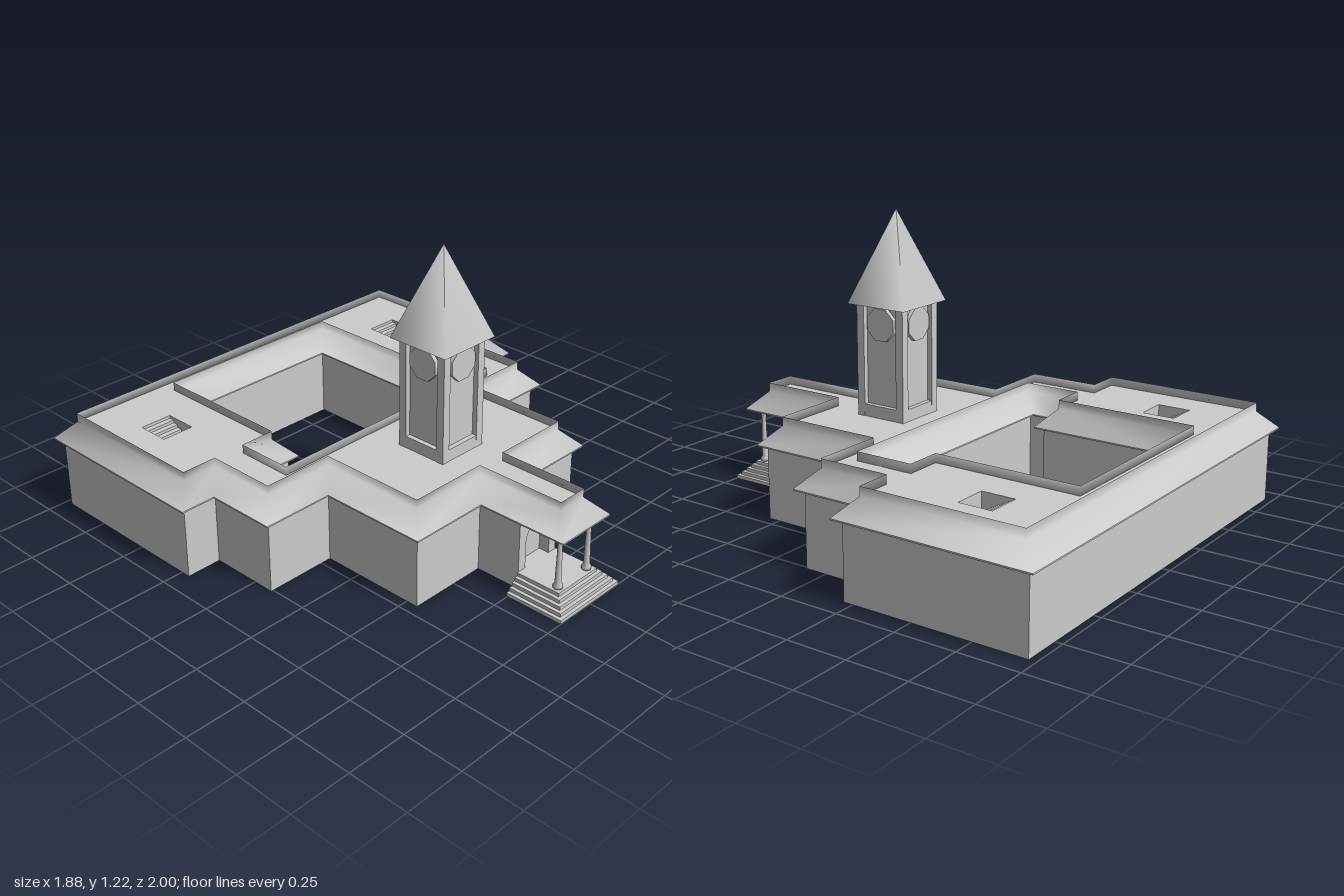
import * as THREE from 'three';

const material = new THREE.MeshStandardMaterial({ color: 0xcccccc });
const thin = new THREE.MeshStandardMaterial({ color: 0xcccccc, side: THREE.DoubleSide });

function add(parent, name, geometry, x = 0, y = 0, z = 0, mat = material) {
  const mesh = new THREE.Mesh(geometry, mat);
  mesh.name = name;
  mesh.position.set(x, y, z);
  parent.add(mesh);
  return mesh;
}

const box = (w, h, d) => new THREE.BoxGeometry(w, h, d);

// Mirrors a half outline of [x, z] points across x = 0 into a closed loop.
const mirrored = (half) => [...half, ...half.map(([x, z]) => [-x, z]).reverse()];

// Stepped plan of the building, drawn in from the eave line by an inset.
const outerPlan = (i, front = 0.965 - i) => mirrored([
  [0.94 - i, -1 + i], [0.94 - i, -0.18 - i], [0.79 - i, -0.18 - i], [0.79 - i, 0.12 - i],
  [0.485 - i, 0.12 - i], [0.485 - i, 0.58 - i], [0.14 - i, 0.58 - i], [0.14 - i, front],
]);

// Courtyard plan, which grows as the inset grows.
const courtPlan = (i) => mirrored([
  [0.355 + i, -0.79 - i], [0.355 + i, -0.18 - i], [0.505 + i, -0.18 - i], [0.505 + i, -0.08 + i],
]);

// Horizontal slab between two heights, with openings.
function slab(outline, holes, bottom, top) {
  const points = (loop) => loop.map(([x, z]) => new THREE.Vector2(x, z));
  const shape = new THREE.Shape(points(outline));
  shape.holes = holes.map((loop) => new THREE.Path(points(loop)));
  return new THREE.ExtrudeGeometry(shape, { depth: top - bottom, bevelEnabled: false })
    .rotateX(Math.PI / 2).translate(0, top, 0);
}

// Closed band through rings given as { loop, y }, with shared normals.
function band(rings) {
  const n = rings[0].loop.length;
  const positions = [];
  const index = [];
  for (const { loop, y } of rings) for (const [x, z] of loop) positions.push(x, y, z);
  for (let r = 0; r < rings.length - 1; r++) {
    for (let k = 0; k < n; k++) {
      const a = r * n + k, b = r * n + (k + 1) % n;
      index.push(a, a + n, b, b, a + n, b + n);
    }
  }
  const geometry = new THREE.BufferGeometry();
  geometry.setAttribute('position', new THREE.Float32BufferAttribute(positions, 3));
  geometry.setIndex(index);
  geometry.computeVertexNormals();
  return geometry;
}

function buildRoof() {
  const roof = new THREE.Group();
  roof.name = 'roof';
  const inset = 0.073, eaveY = 0.311, deckY = 0.385, topY = 0.422;

  add(roof, 'soffit', slab(outerPlan(0), [courtPlan(0)], 0.305, eaveY));

  // Flat deck with two stairwell openings
  const wells = [-0.65, 0.65].map((x) => [
    [x - 0.07, -0.7], [x + 0.07, -0.7], [x + 0.07, -0.56], [x - 0.07, -0.56],
  ]);
  add(roof, 'roofDeck', slab(outerPlan(inset), [courtPlan(inset), ...wells], eaveY, deckY));

  // Sloping eaves that turn up into the thin parapet
  for (const [name, plan] of [['outerEaves', outerPlan], ['courtyardEaves', courtPlan]]) {
    add(roof, name, band([
      { loop: plan(0), y: eaveY },
      { loop: plan(inset), y: deckY },
      { loop: plan(inset), y: topY },
    ]), 0, 0, 0, thin);
  }

  // Stairs going down inside each well
  const run = 0.14 / 6, rise = (deckY - eaveY) / 6;
  for (const x of [-0.65, 0.65]) {
    for (let i = 0; i < 5; i++) {
      const h = rise * (5 - i);
      add(roof, 'roofStair', box(0.14, h, run), x, eaveY + h / 2, -0.7 + run * (i + 0.5));
    }
  }
  return roof;
}

function buildPorch() {
  const porch = new THREE.Group();
  porch.name = 'porch';

  // Front wall with an arched doorway
  const wall = new THREE.Shape();
  wall.moveTo(-0.11, 0).lineTo(0.11, 0).lineTo(0.11, 0.305).lineTo(-0.11, 0.305).closePath();
  const arch = new THREE.Path();
  arch.moveTo(-0.07, 0.075).lineTo(-0.07, 0.19);
  arch.absarc(0, 0.19, 0.07, Math.PI, 0, true);
  arch.lineTo(0.07, 0.075).closePath();
  wall.holes.push(arch);
  add(porch, 'entranceArch',
    new THREE.ExtrudeGeometry(wall, { depth: 0.045, bevelEnabled: false, curveSegments: 10 }), 0, 0, 0.7);

  // Five steps wrapping three sides
  for (let i = 0; i < 5; i++) {
    const half = 0.175 - i * 0.015, depth = 0.255 - i * 0.015;
    add(porch, 'entranceStep', box(half * 2, 0.015, depth), 0, 0.0075 + i * 0.015, 0.745 + depth / 2);
  }

  // Turned columns under the front corners of the porch roof
  const profile = [[0, 0], [0.019, 0], [0.019, 0.012], [0.013, 0.022], [0.009, 0.19],
    [0.012, 0.205], [0.018, 0.22], [0.018, 0.23], [0, 0.23]].map(([r, y]) => new THREE.Vector2(r, y));
  for (const x of [-0.086, 0.086]) {
    add(porch, 'porchColumn', new THREE.LatheGeometry(profile, 12), x, 0.075, 0.912);
  }
  return porch;
}

function buildTower() {
  const tower = new THREE.Group();
  tower.name = 'clockTower';
  tower.position.z = 0.25;

  add(tower, 'towerCore', box(0.185, 0.465, 0.185), 0, 0.6175, 0);
  add(tower, 'towerBase', box(0.226, 0.05, 0.226), 0, 0.41, 0);
  for (const x of [-1, 1]) {
    for (const z of [-1, 1]) {
      add(tower, 'cornerPost', box(0.035, 0.465, 0.035), x * 0.0965, 0.6175, z * 0.0965);
    }
  }

  // Eight-sided clock face on each side
  for (let i = 0; i < 4; i++) {
    const side = new THREE.Group();
    side.name = 'clockSide';
    side.rotation.y = i * Math.PI / 2;
    const face = new THREE.CylinderGeometry(0.07, 0.07, 0.02, 8)
      .rotateY(Math.PI / 8).rotateX(Math.PI / 2);
    add(side, 'clockFace', face, 0, 0.77, 0.1);
    tower.add(side);
  }

  // Square spire with softly shaded sides
  const spire = new THREE.ConeGeometry(0.14 * Math.SQRT2, 0.375, 4).rotateY(Math.PI / 4);
  add(tower, 'spire', spire, 0, 0.845 + 0.1875, 0);
  return tower;
}

export function createModel() {
  const model = new THREE.Group();
  model.name = 'courtyardBuilding';
  add(model, 'walls', slab(outerPlan(0.03, 0.7), [courtPlan(0.03)], 0, 0.305));
  model.add(buildRoof(), buildPorch(), buildTower());
  return model;
}
